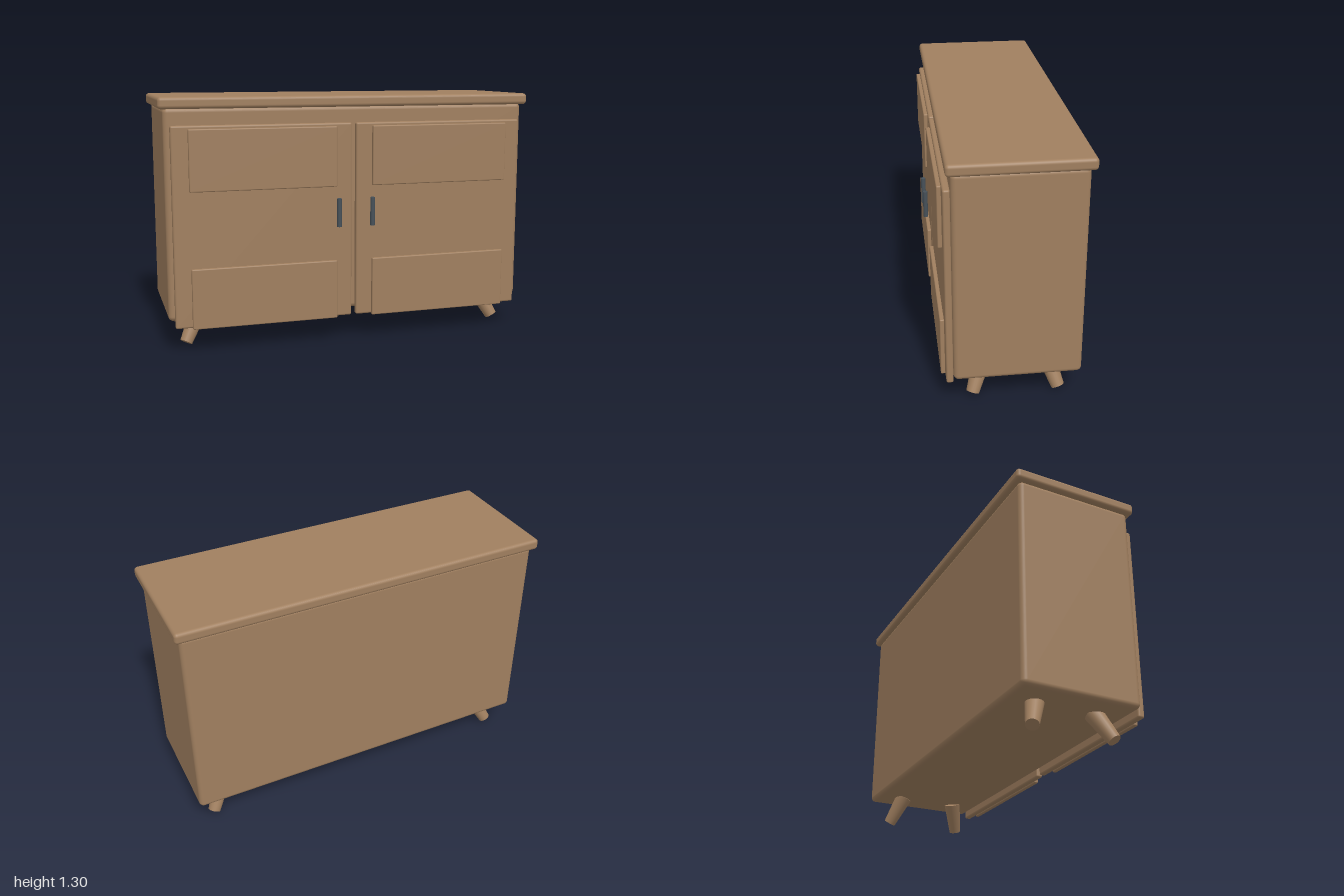
import * as THREE from 'three';
import { RoundedBoxGeometry } from 'three/addons/geometries/RoundedBoxGeometry.js';

const wood = new THREE.MeshStandardMaterial({ color: 0xa07f5f });
wood.name = 'wood';
const metal = new THREE.MeshStandardMaterial({ color: 0x465058 });
metal.name = 'dark metal';

// Rounded slab given by its extents on each axis
function slab(name, [x0, x1], [y0, y1], [z0, z1], radius) {
  const geometry = new RoundedBoxGeometry(x1 - x0, y1 - y0, z1 - z0, 4, radius);
  const mesh = new THREE.Mesh(geometry, wood);
  mesh.name = name;
  mesh.position.set((x0 + x1) / 2, (y0 + y1) / 2, (z0 + z1) / 2);
  return mesh;
}

// Tapered round bar running from bottom to top
function bar(name, bottom, top, rBottom, rTop, material) {
  const axis = top.clone().sub(bottom);
  const geometry = new THREE.CylinderGeometry(rTop, rBottom, axis.length(), 20);
  const mesh = new THREE.Mesh(geometry, material);
  mesh.name = name;
  mesh.position.copy(bottom).add(top).multiplyScalar(0.5);
  mesh.quaternion.setFromUnitVectors(new THREE.Vector3(0, 1, 0), axis.normalize());
  return mesh;
}

export function createModel() {
  const model = new THREE.Group();
  model.name = 'sideboard';

  // Carcass and overhanging top
  model.add(slab('body', [-0.975, 0.975], [0.16, 1.245], [-0.342, 0.285], 0.025));
  model.add(slab('top', [-1, 1], [1.238, 1.297], [-0.366, 0.309], 0.018));

  for (const side of [-1, 1]) {
    const label = side > 0 ? 'left' : 'right';
    const span = (a, b) => (side > 0 ? [a, b] : [-b, -a]);

    // Door with two raised panels and a handle
    const door = new THREE.Group();
    door.name = label + 'Door';
    door.add(slab('doorSlab', span(0.012, 0.945), [0.129, 1.157], [0.284, 0.319], 0.01));
    door.add(slab('upperPanel', span(0.097, 0.86), [0.828, 1.141], [0.317, 0.34], 0.006));
    door.add(slab('lowerPanel', span(0.097, 0.86), [0.125, 0.437], [0.317, 0.34], 0.006));
    door.add(bar('handle', new THREE.Vector3(side * 0.091, 0.619, 0.354),
      new THREE.Vector3(side * 0.091, 0.768, 0.354), 0.0125, 0.0125, metal));
    model.add(door);

    // Splayed tapered legs
    for (const end of [-1, 1]) {
      const foot = new THREE.Vector3(side * 0.88, 0.0175, -0.03 + end * 0.216);
      const hip = new THREE.Vector3(side * 0.804, 0.167, -0.03 + end * 0.159);
      model.add(bar(label + (end > 0 ? 'FrontLeg' : 'BackLeg'), foot, hip, 0.033, 0.047, wood));
    }
  }
  return model;
}
